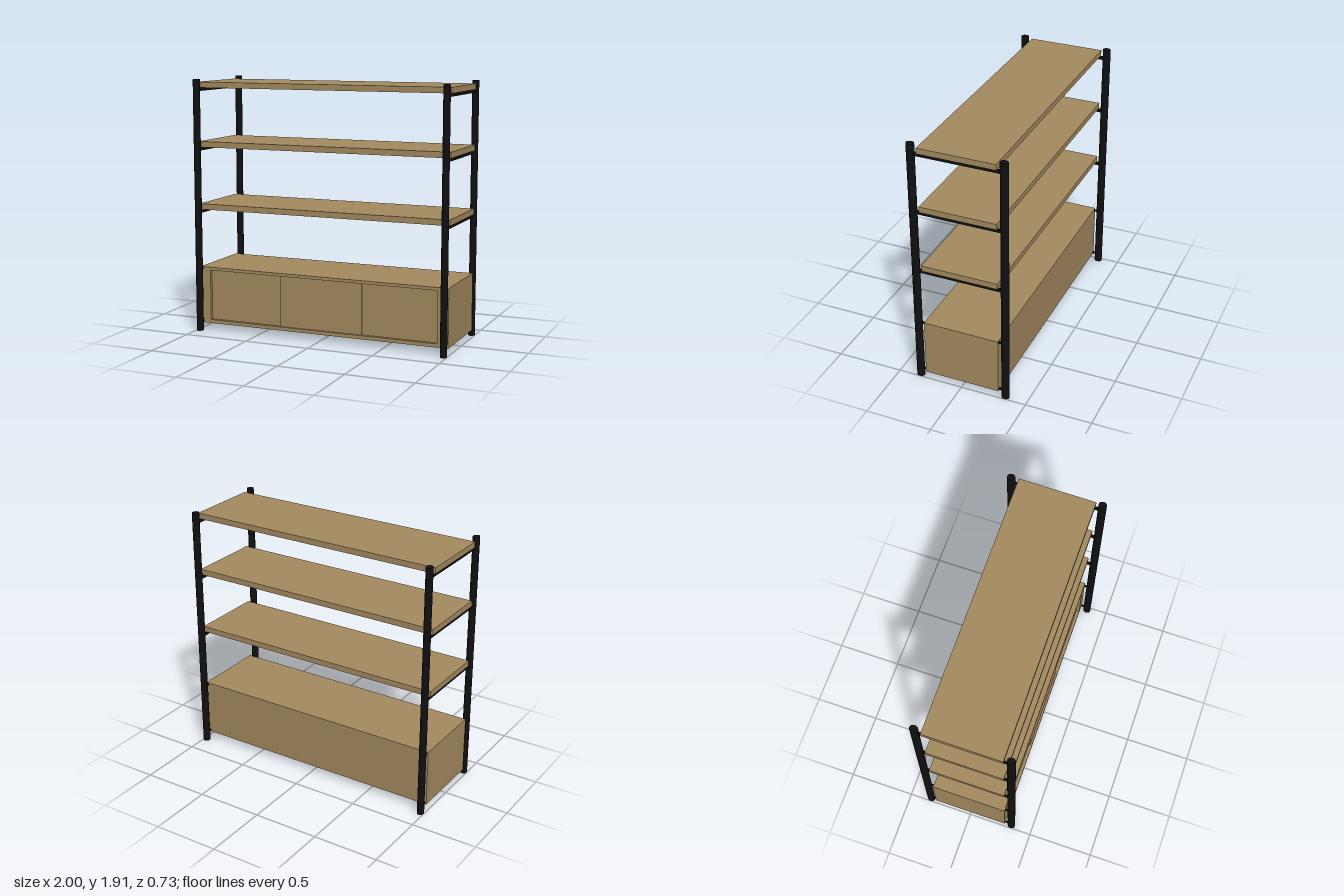
import * as THREE from 'three';

export function createModel() {
  const wood = new THREE.MeshStandardMaterial({ color: 0xa58b60 });
  wood.name = 'oak wood';
  const metal = new THREE.MeshStandardMaterial({ color: 0x101010 });
  metal.name = 'black metal';

  const model = new THREE.Group();
  model.name = 'shelvingUnit';

  const add = (name, geometry, material, x, y, z, parent = model) => {
    const mesh = new THREE.Mesh(geometry, material);
    mesh.name = name;
    mesh.position.set(x, y, z);
    parent.add(mesh);
    return mesh;
  };
  // Box given by its lower and upper corners
  const block = (name, material, [x0, y0, z0], [x1, y1, z1], parent) =>
    add(name, new THREE.BoxGeometry(x1 - x0, y1 - y0, z1 - z0), material,
      (x0 + x1) / 2, (y0 + y1) / 2, (z0 + z1) / 2, parent);

  const W = 0.992, D = 0.287, H = 1.91;
  const postX = 0.975, postZ = 0.337;

  // Oval corner posts
  const postGeometry = new THREE.CylinderGeometry(1, 1, H, 32);
  postGeometry.scale(0.025, 1, 0.03);
  for (const x of [-postX, postX])
    for (const z of [-postZ, postZ]) add('post', postGeometry, metal, x, H / 2, z);

  // Shelf boards, each resting on a rail at both ends
  for (const y of [0.927, 1.4, 1.846]) {
    block('shelf', wood, [-W, y, -D], [W, y + 0.043, D]);
    for (const x of [-postX, postX])
      block('shelfRail', metal, [x - 0.008, y - 0.024, -postZ], [x + 0.008, y, postZ]);
  }

  // Cabinet: body, front frame around the recess, raised middle door
  const cabinet = new THREE.Group();
  cabinet.name = 'cabinet';
  model.add(cabinet);
  const bottom = 0.05, top = 0.485, recess = 0.025;
  block('cabinetBody', wood, [-W, bottom, -D], [W, top, D - recess], cabinet);

  const rectangle = (path, x, y0, y1) => path.setFromPoints([
    new THREE.Vector2(-x, y0), new THREE.Vector2(x, y0),
    new THREE.Vector2(x, y1), new THREE.Vector2(-x, y1), new THREE.Vector2(-x, y0),
  ]);
  const frame = rectangle(new THREE.Shape(), W, bottom, top);
  frame.holes.push(rectangle(new THREE.Path(), 0.908, 0.077, 0.462));
  add('frontFrame', new THREE.ExtrudeGeometry(frame, { depth: recess, bevelEnabled: false }),
    wood, 0, 0, D - recess, cabinet);
  block('middleDoor', wood, [-0.328, 0.077, D - recess], [0.328, 0.462, D - recess + 0.01], cabinet);

  // Short pins joining the cabinet to the posts
  for (const x of [-postX, postX])
    for (const y of [0.062, 0.472])
      for (const s of [-1, 1])
        add('cabinetPin', new THREE.BoxGeometry(0.014, 0.013, 0.06), metal, x, y, s * 0.307);

  return model;
}
